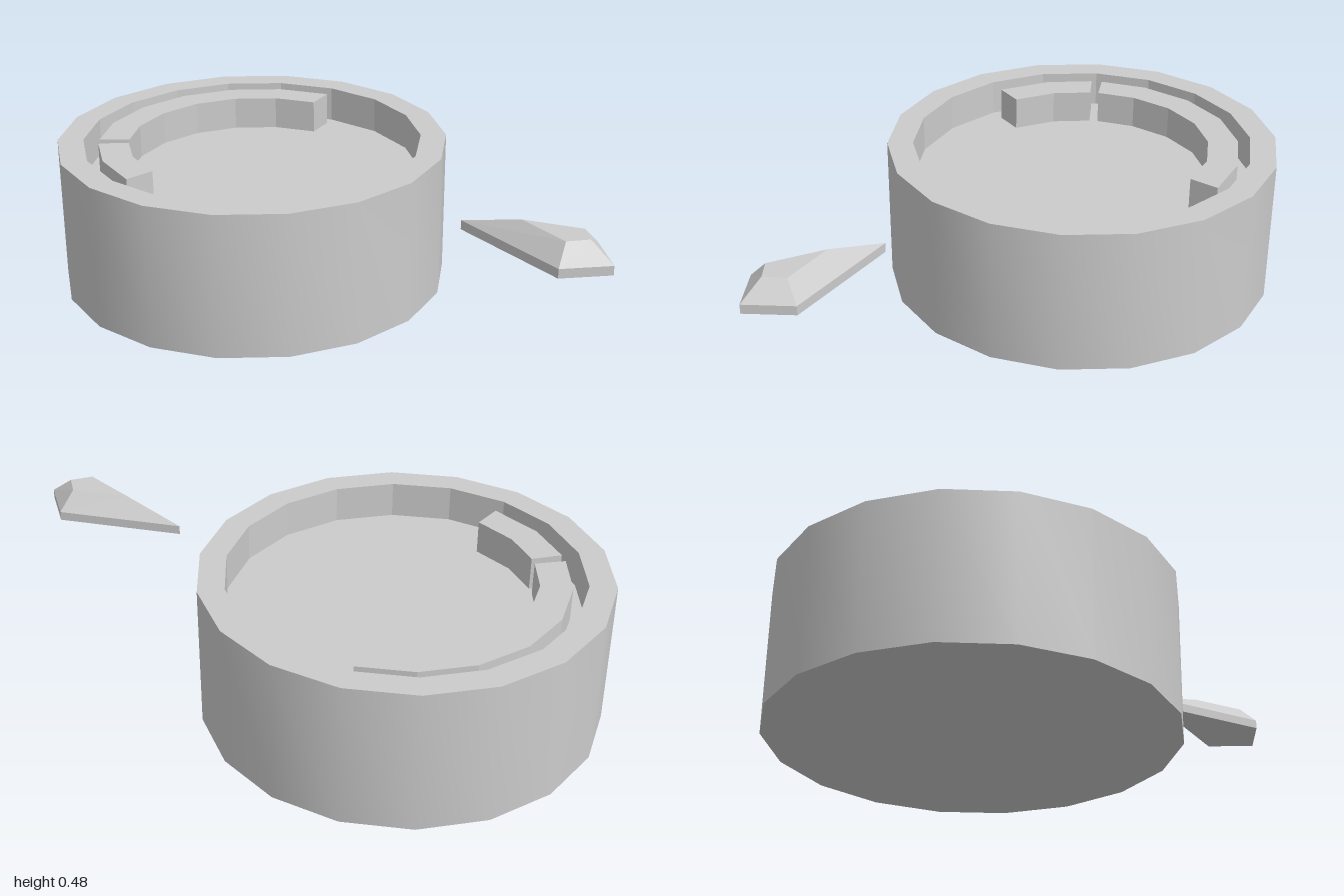
import * as THREE from 'three';
import { toCreasedNormals } from 'three/addons/utils/BufferGeometryUtils.js';

const SIDES = 18, CENTRE_Z = -0.355;
const OUTER = 0.645, INNER = 0.56, HEIGHT = 0.48, FLOOR = 0.36;
const rad = THREE.MathUtils.degToRad;

export function createModel() {
  const group = new THREE.Group();
  const material = new THREE.MeshStandardMaterial({ color: 0xcccccc });

  const add = (name, geometry, x = 0, y = 0, z = 0) => {
    const mesh = new THREE.Mesh(geometry, material);
    mesh.name = name;
    mesh.position.set(x, y, z);
    group.add(mesh);
  };

  const flat = (geometry) => {
    const g = geometry.index ? geometry.toNonIndexed() : geometry;
    g.computeVertexNormals();
    return g;
  };

  const lathe = (points) =>
    new THREE.LatheGeometry(points.map(([r, y]) => new THREE.Vector2(r, y)), SIDES);

  // Drum: smooth outer wall with underside, faceted recess with rim and floor
  add('drumShell', toCreasedNormals(lathe([[0, 0], [OUTER, 0], [OUTER, HEIGHT]]), rad(40)), 0, 0, CENTRE_Z);
  add('drumRecess', flat(lathe([[OUTER, HEIGHT], [INNER, HEIGHT], [INNER, FLOOR], [0, FLOOR]])), 0, 0, CENTRE_Z);

  // Raised curved bars on the floor; angles are measured from the back
  const arcBar = (angles) => {
    const at = (r) => (a) => new THREE.Vector2(r * Math.sin(rad(a)), r * Math.cos(rad(a)));
    const outline = [...angles.map(at(0.515)), ...[...angles].reverse().map(at(0.415))];
    const geometry = new THREE.ExtrudeGeometry(new THREE.Shape(outline), { depth: 0.11, bevelEnabled: false });
    return geometry.rotateX(-Math.PI / 2);
  };
  add('longScaleBar', arcBar([-38, -20, 0, 20, 40, 60, 80]), 0.007, FLOOR, CENTRE_Z);
  add('shortScaleBar', arcBar([-80, -60, -42]), 0.007, FLOOR, CENTRE_Z);

  // Pointer: kite-shaped sections stacked from the base to a smaller top facet
  const kite = (y, front, halfWidth, wideZ, back) =>
    [[0, y, front], [halfWidth, y, wideZ], [0, y, back], [-halfWidth, y, wideZ]];
  const sections = [
    kite(0.375, 0.995, 0.115, 0.88, 0.475),
    kite(0.405, 0.995, 0.115, 0.88, 0.475),
    kite(0.465, 0.915, 0.055, 0.865, 0.685),
  ];
  const index = [0, 2, 1, 0, 3, 2, 8, 9, 10, 8, 10, 11];
  for (let level = 0; level < 2; level++) {
    for (let i = 0; i < 4; i++) {
      const a = level * 4 + i, b = level * 4 + (i + 1) % 4;
      index.push(a, b, b + 4, a, b + 4, a + 4);
    }
  }
  const pointer = new THREE.BufferGeometry();
  pointer.setAttribute('position', new THREE.Float32BufferAttribute(sections.flat(2), 3));
  pointer.setIndex(index);
  add('pointer', flat(pointer));

  return group;
}
